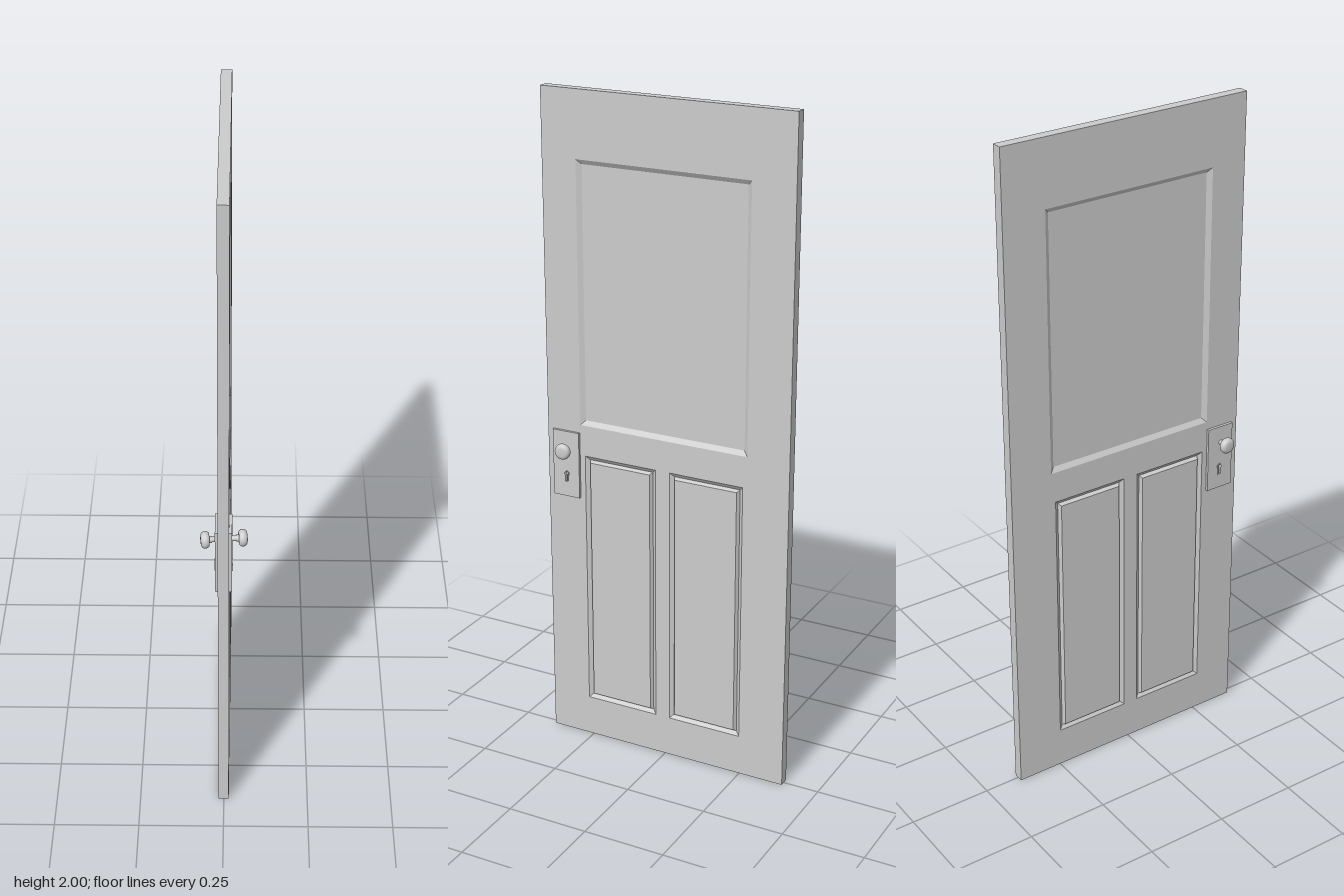
import * as THREE from 'three';

const material = new THREE.MeshStandardMaterial({ color: 0xcccccc });
const HALF = 0.0155; // half the slab thickness

function add(parent, name, geometry) {
  const mesh = new THREE.Mesh(geometry, material);
  mesh.name = name;
  parent.add(mesh);
  return mesh;
}

// Rectangle path in the (z, y) plane of the door
function rect(path, { z0, z1, y0, y1 }) {
  path.moveTo(z0, y0);
  path.lineTo(z1, y0);
  path.lineTo(z1, y1);
  path.lineTo(z0, y1);
  path.closePath();
  return path;
}

// Extrude a (z, y) shape along x, from x0 to x1
function extrudeX(shape, x0, x1) {
  const g = new THREE.ExtrudeGeometry(shape, { depth: x1 - x0, bevelEnabled: false, curveSegments: 12 });
  g.translate(0, 0, -x1);
  g.rotateY(-Math.PI / 2);
  return g;
}

// Mitred moulding and field: nested rectangles given as [inset, x], closed by a flat centre
function panelFace({ z0, z1, y0, y1 }, steps, side) {
  const rings = steps.map(([i, x]) => [
    [x * side, y0 + i, z1 - i], [x * side, y0 + i, z0 + i],
    [x * side, y1 - i, z0 + i], [x * side, y1 - i, z1 - i],
  ]);
  const pos = [];
  const quad = (a, b, c, d) => {
    const q = side > 0 ? [a, b, c, a, c, d] : [a, c, b, a, d, c];
    q.forEach((p) => pos.push(...p));
  };
  for (let r = 0; r + 1 < rings.length; r++) {
    for (let k = 0; k < 4; k++) {
      const n = (k + 1) % 4;
      quad(rings[r][k], rings[r][n], rings[r + 1][n], rings[r + 1][k]);
    }
  }
  quad(...rings[rings.length - 1]);
  const g = new THREE.BufferGeometry();
  g.setAttribute('position', new THREE.Float32BufferAttribute(pos, 3));
  g.computeVertexNormals();
  return g;
}

// Keyhole outline: round top running into a narrow slot
function keyhole(path, r, w, cy, bottom) {
  const a = Math.asin(w / r);
  path.moveTo(0.325 - w, bottom);
  path.lineTo(0.325 + w, bottom);
  path.absarc(0.325, cy, r, -Math.PI / 2 + a, 1.5 * Math.PI - a, false);
  path.closePath();
  return path;
}

export function createModel() {
  const door = new THREE.Group();
  door.name = 'door';

  const upper = { z0: -0.26, z1: 0.28, y0: 1.02, y1: 1.805 };
  const lowers = [
    { z0: 0.032, z1: 0.265, y0: 0.125, y1: 0.925 },
    { z0: -0.247, z1: -0.014, y0: 0.125, y1: 0.925 },
  ];

  // Slab with three openings
  const outline = rect(new THREE.Shape(), { z0: -0.39, z1: 0.389, y0: 0, y1: 2 });
  [upper, ...lowers].forEach((p) => outline.holes.push(rect(new THREE.Path(), p)));
  add(door, 'slab', extrudeX(outline, -HALF, HALF));

  for (const side of [1, -1]) {
    const label = side > 0 ? 'left' : 'right';

    // Recessed upper panel and raised lower panels
    add(door, `${label}UpperPanel`, panelFace(upper, [[0, HALF], [0.014, 0.006]], side));
    lowers.forEach((p, i) => add(door, `${label}LowerPanel${i + 1}`,
      panelFace(p, [[0, HALF], [0.012, 0.007], [0.018, 0.0175]], side)));

    // Lock plate with keyhole and its rim
    const plate = rect(new THREE.Shape(), { z0: 0.282, z1: 0.369, y0: 0.79, y1: 0.995 });
    plate.holes.push(keyhole(new THREE.Path(), 0.006, 0.003, 0.862, 0.837));
    const rim = keyhole(new THREE.Shape(), 0.009, 0.006, 0.862, 0.834);
    rim.holes.push(keyhole(new THREE.Path(), 0.006, 0.003, 0.862, 0.837));
    const span = (a, b) => (side > 0 ? [a, b] : [-b, -a]);
    add(door, `${label}LockPlate`, extrudeX(plate, ...span(HALF, 0.0235)));
    add(door, `${label}KeyholeRim`, extrudeX(rim, ...span(0.0235, 0.0255)));
  }

  // Knobs on a shared, slightly turned spindle
  const knobs = new THREE.Group();
  knobs.name = 'knobs';
  knobs.position.set(0.001, 0.942, 0.325);
  knobs.rotation.y = 0.1;
  door.add(knobs);
  const knobCurve = new THREE.SplineCurve([
    [0.009, 0.041], [0.016, 0.0405], [0.021, 0.043], [0.024, 0.050],
    [0.0225, 0.058], [0.017, 0.063], [0.009, 0.0645], [0, 0.065],
  ].map(([r, h]) => new THREE.Vector2(r, h)));
  const shaft = [[0.0075, 0.012], [0.0075, 0.034], [0.0095, 0.034], [0.0095, 0.043]]
    .map(([r, h]) => new THREE.Vector2(r, h));
  for (const side of [1, -1]) {
    const label = side > 0 ? 'left' : 'right';
    const turn = -side * Math.PI / 2;
    add(knobs, `${label}Knob`, new THREE.LatheGeometry(knobCurve.getPoints(20), 28).rotateZ(turn));
    add(knobs, `${label}KnobShaft`, new THREE.LatheGeometry(shaft, 20).rotateZ(turn));
  }

  door.position.x = -0.001;
  const model = new THREE.Group();
  model.name = 'panelDoor';
  model.add(door);
  return model;
}
